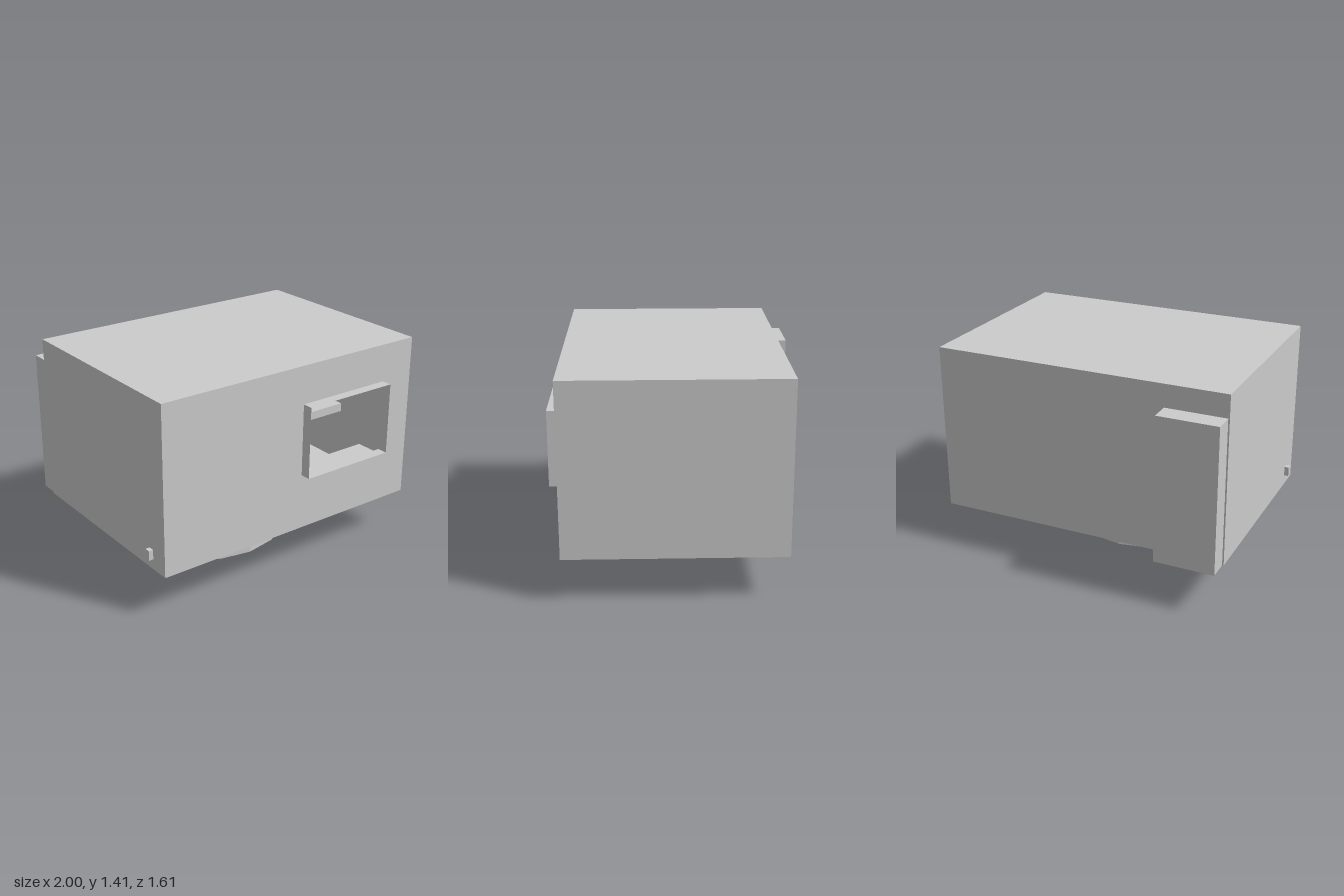
import * as THREE from 'three';

const material = new THREE.MeshStandardMaterial({ color: 0xcccccc, flatShading: true, side: THREE.DoubleSide });

// Box given by its extents; the listed sides (0..5 = +x -x +y -y +z -z) are left open.
function box(name, [x0, x1], [y0, y1], [z0, z1], open = []) {
  const geometry = new THREE.BoxGeometry(x1 - x0, y1 - y0, z1 - z0);
  const index = Array.from(geometry.index.array).filter((_, i) => !open.includes(Math.floor(i / 6)));
  geometry.setIndex(index);
  geometry.clearGroups();
  geometry.translate((x0 + x1) / 2, (y0 + y1) / 2, (z0 + z1) / 2);
  const mesh = new THREE.Mesh(geometry, material);
  mesh.name = name;
  return mesh;
}

function rectangle(Type, [x0, x1], [y0, y1]) {
  return new Type([[x0, y0], [x1, y0], [x1, y1], [x0, y1]].map(([x, y]) => new THREE.Vector2(x, y)));
}

export function createModel() {
  const model = new THREE.Group();
  model.name = 'hollowCabin';
  const bodyX = [-0.97, 1], bodyY = [0.29, 1.41], bodyZ = [-0.67, 0.73];
  const windowX = [0.08, 0.755], windowY = [0.67, 1.155];

  // Hollow thin-walled body, with a front wall cut out for the window
  model.add(box('bodyShell', bodyX, bodyY, bodyZ, [4]));
  const wallShape = rectangle(THREE.Shape, bodyX, bodyY);
  wallShape.holes.push(rectangle(THREE.Path, windowX, windowY));
  const frontWall = new THREE.Mesh(new THREE.ShapeGeometry(wallShape), material);
  frontWall.name = 'frontWall';
  frontWall.position.z = bodyZ[1];
  model.add(frontWall);

  // Thin window surround, open at both ends
  model.add(box('windowSurround', windowX, windowY, [0.73, 0.8], [4, 5]));

  // Interior fittings seen through the window
  model.add(box('windowCounter', [0.02, 0.82], [0.56, 0.6], [0.48, 0.725]));
  model.add(box('sideShelf', [0.55, 0.99], [0.68, 0.74], [-0.6, 0.1]));

  // Tall box on the back and small knob on the right side
  model.add(box('backBox', [-0.96, -0.56], [0.29, 1.26], [-0.805, -0.67]));
  model.add(box('sideKnob', [-1, -0.97], [0.36, 0.425], [0.565, 0.603]));

  // Twelve-sided oval base
  const base = new THREE.Mesh(new THREE.CylinderGeometry(1, 1, 0.29, 12), material);
  base.name = 'ovalBase';
  base.scale.set(0.44, 1, 0.31);
  base.position.set(-0.06, 0.145, 0.077);
  model.add(base);

  return model;
}
